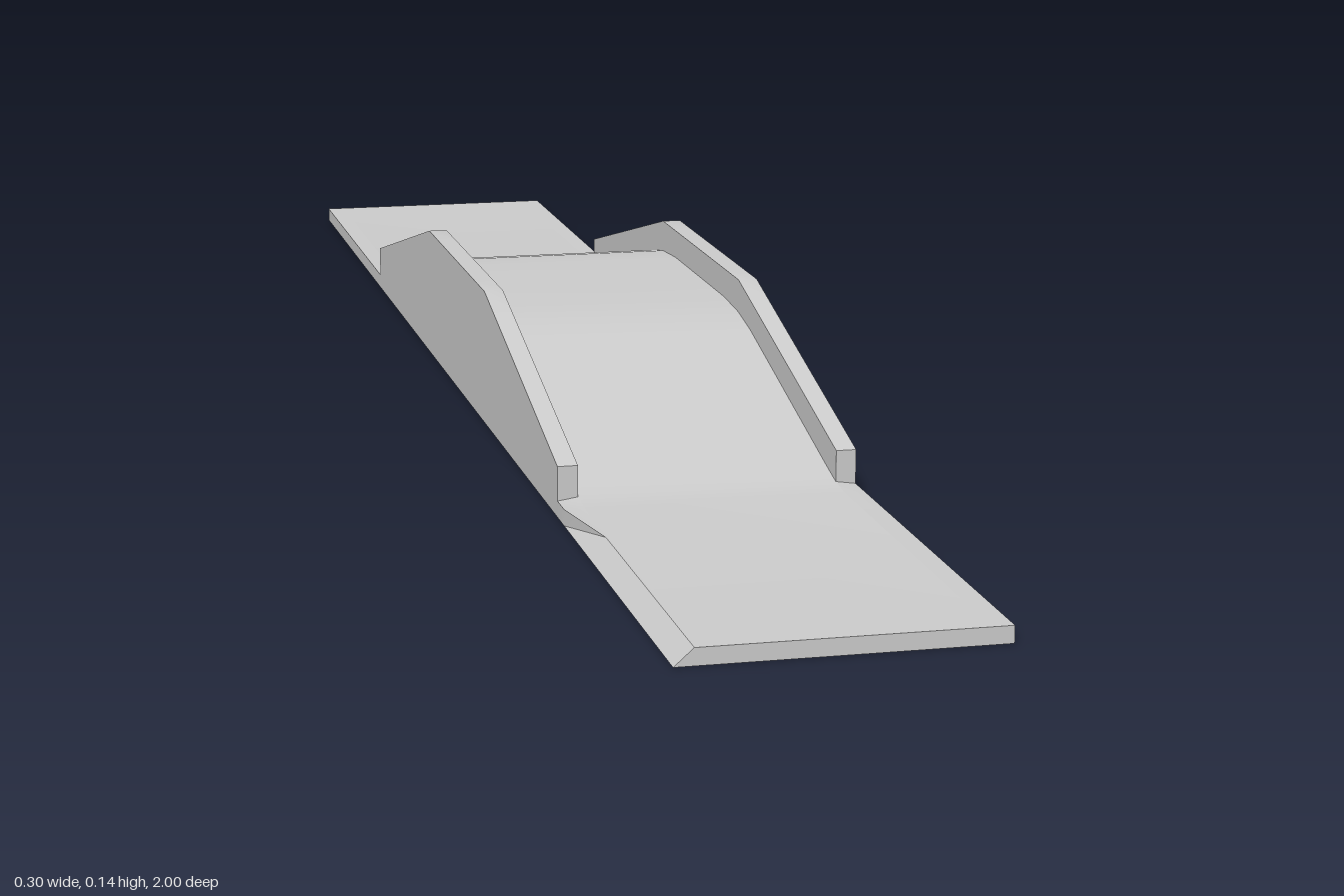
import * as THREE from 'three';
import { toCreasedNormals } from 'three/addons/utils/BufferGeometryUtils.js';

const OUT = 0.148, IN = 0.128, SLAB = 0.016; // half widths, ramp thickness
const WALL_END = 0.54;

// Half profile of the walkway: [distance from centre, height]
const DECK = [[0, 0.112], [0.11, 0.112], [0.17, 0.108], [0.22, 0.099], [0.51, 0.026], [0.54, 0.019], [0.57, SLAB], [1, SLAB]];
// Half profile of the wall tops
const WALL = [[0, 0.143], [0.17, 0.143], [WALL_END, 0.05]];

function heightAt(profile, z) {
  const d = Math.abs(z);
  for (let i = 1; i < profile.length; i++) {
    const [z0, y0] = profile[i - 1], [z1, y1] = profile[i];
    if (d <= z1 + 1e-6) return y0 + (y1 - y0) * (d - z0) / (z1 - z0);
  }
  return profile[profile.length - 1][1];
}

const material = new THREE.MeshStandardMaterial({ color: 0xcccccc, side: THREE.DoubleSide });

// Skins a list of equally long point rows
function loft(name, rows) {
  const pos = [], index = [], n = rows[0].length;
  rows.forEach(row => row.forEach(p => pos.push(...p)));
  for (let i = 0; i < rows.length - 1; i++) {
    for (let j = 0; j < n - 1; j++) {
      const a = i * n + j, b = a + n;
      index.push(a, b, b + 1, a, b + 1, a + 1);
    }
  }
  const g = new THREE.BufferGeometry();
  g.setAttribute('position', new THREE.Float32BufferAttribute(pos, 3));
  g.setIndex(index);
  const mesh = new THREE.Mesh(toCreasedNormals(g, 0.4), material);
  mesh.name = name;
  return mesh;
}

// Row running from the walkway outwards, mirrored for the -x side
function sideRow(s, z, pts) {
  const row = pts.map(([x, y]) => [s * x, y, z]);
  return s > 0 ? row : row.reverse();
}

export function createModel() {
  const group = new THREE.Group();
  group.name = 'footbridge';

  // Walkway skin, open underneath
  const stations = [...DECK.map(p => -p[0]).reverse(), ...DECK.slice(1).map(p => p[0])];
  group.add(loft('walkway', stations.map(z => {
    const y = heightAt(DECK, z);
    return [[-IN, y, z], [IN, y, z]];
  })));

  for (const s of [1, -1]) {
    const side = s > 0 ? 'left' : 'right';

    // Hollow side wall, closed at both ends
    const zs = [...new Set([...DECK, ...WALL].map(p => p[0]))].filter(z => z <= WALL_END).sort((a, b) => a - b);
    const wallZ = [...zs.slice(1).reverse().map(z => -z), ...zs];
    const cap = z => sideRow(s, z, [[IN, 0], [IN, 0], [OUT, 0], [OUT, 0]]);
    group.add(loft(side + 'Wall', [
      cap(-WALL_END),
      ...wallZ.map(z => {
        const w = heightAt(WALL, z);
        return sideRow(s, z, [[IN, heightAt(DECK, z)], [IN, w], [OUT, w], [OUT, 0]]);
      }),
      cap(WALL_END),
    ]));

    // Ramp edges beyond the walls; one has its top edge drawn in
    for (const e of [-1, 1]) {
      const bevelled = s < 0 && e > 0;
      const rows = [WALL_END, 0.57, 0.67, 1].map(d => {
        const top = bevelled && d > 0.6 ? 0.13 : OUT;
        return sideRow(s, e * d, [[IN, heightAt(DECK, d)], [top, SLAB], [OUT, 0]]);
      });
      group.add(loft(side + (e > 0 ? 'Front' : 'Back') + 'RampEdge', e > 0 ? rows : rows.reverse()));
    }
  }

  // End faces of the ramps
  for (const e of [-1, 1]) {
    const top = [[e > 0 ? -0.13 : -OUT, SLAB, e], [OUT, SLAB, e]];
    const bottom = [[-OUT, 0, e], [OUT, 0, e]];
    group.add(loft(e > 0 ? 'frontRampEnd' : 'backRampEnd', e > 0 ? [top, bottom] : [bottom, top]));
  }

  return group;
}
